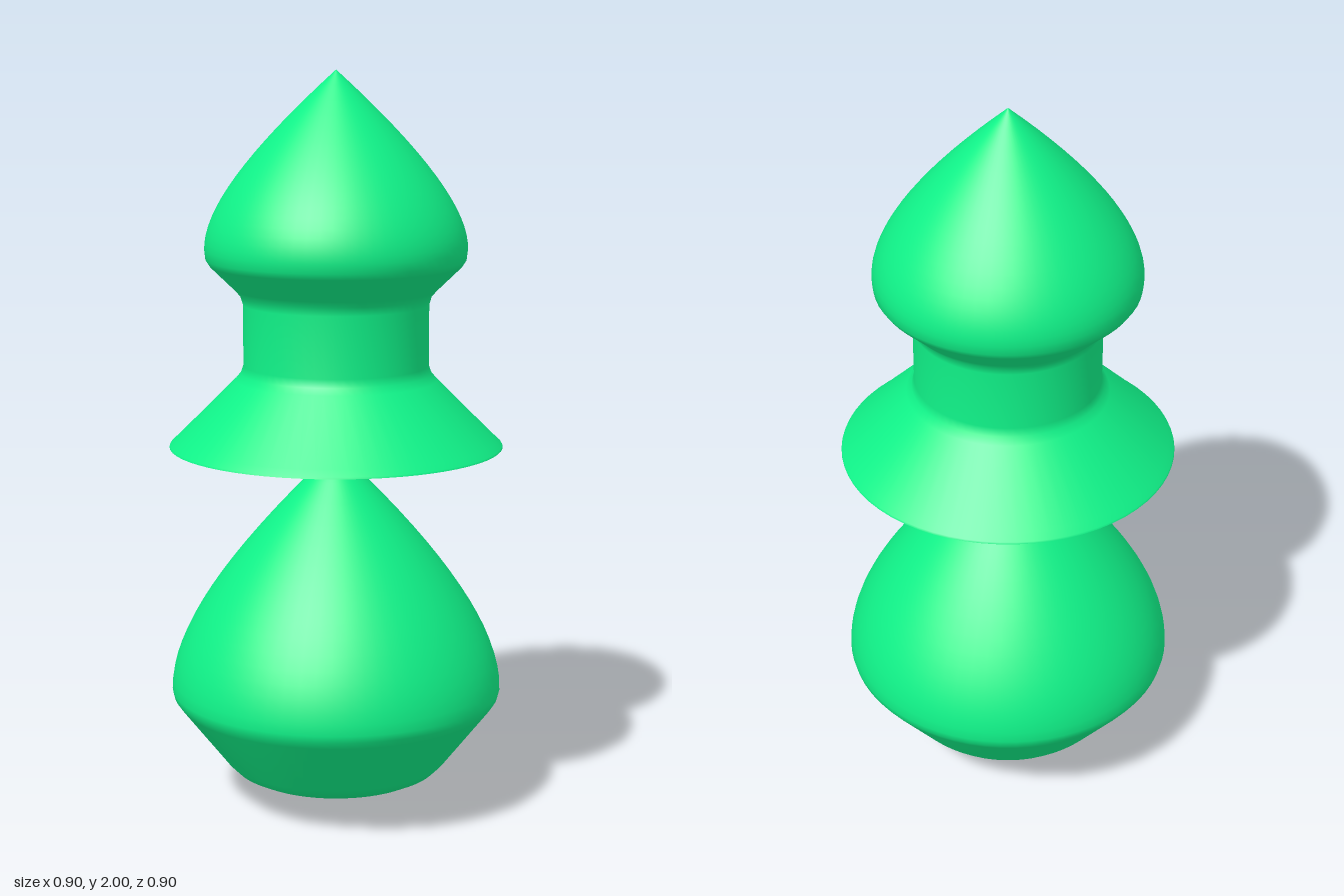
import * as THREE from 'three';

const material = new THREE.MeshStandardMaterial({ color: 0x10f288, side: THREE.DoubleSide });
const v = (x, y) => new THREE.Vector2(x, y);

// Domed flank running from a widest point up to a tip
const dome = (from, control, to) => new THREE.QuadraticBezierCurve(from, control, to).getPoints(16);

function turned(name, profile) {
  const mesh = new THREE.Mesh(new THREE.LatheGeometry(profile, 64), material);
  mesh.name = name;
  return mesh;
}

export function createModel() {
  const group = new THREE.Group();
  group.name = 'turnedFinial';

  // Teardrop bulb with a shallow pointed foot
  group.add(turned('lowerBulb', [
    v(0, 0), v(0.25, 0.09), v(0.28, 0.105), v(0.305, 0.13),
    v(0.43, 0.29), v(0.444, 0.31),
    ...dome(v(0.449, 0.33), v(0.45, 0.55), v(0.03, 0.965)), v(0, 0.985),
  ]));

  // Flat underside of the flared skirt
  group.add(turned('skirtUnderside', [v(0, 0.968), v(0.035, 0.97), v(0.448, 1.003)]));

  // Flared skirt, straight neck and domed cap
  group.add(turned('skirtNeckAndCap', [
    v(0.448, 1.003), v(0.446, 1.008), v(0.43, 1.022),
    v(0.27, 1.182), v(0.255, 1.2), v(0.248, 1.222),
    v(0.248, 1.385), v(0.255, 1.408), v(0.27, 1.425),
    v(0.335, 1.488), v(0.346, 1.505),
    ...dome(v(0.349, 1.53), v(0.355, 1.68), v(0, 2)),
  ]));

  return group;
}
